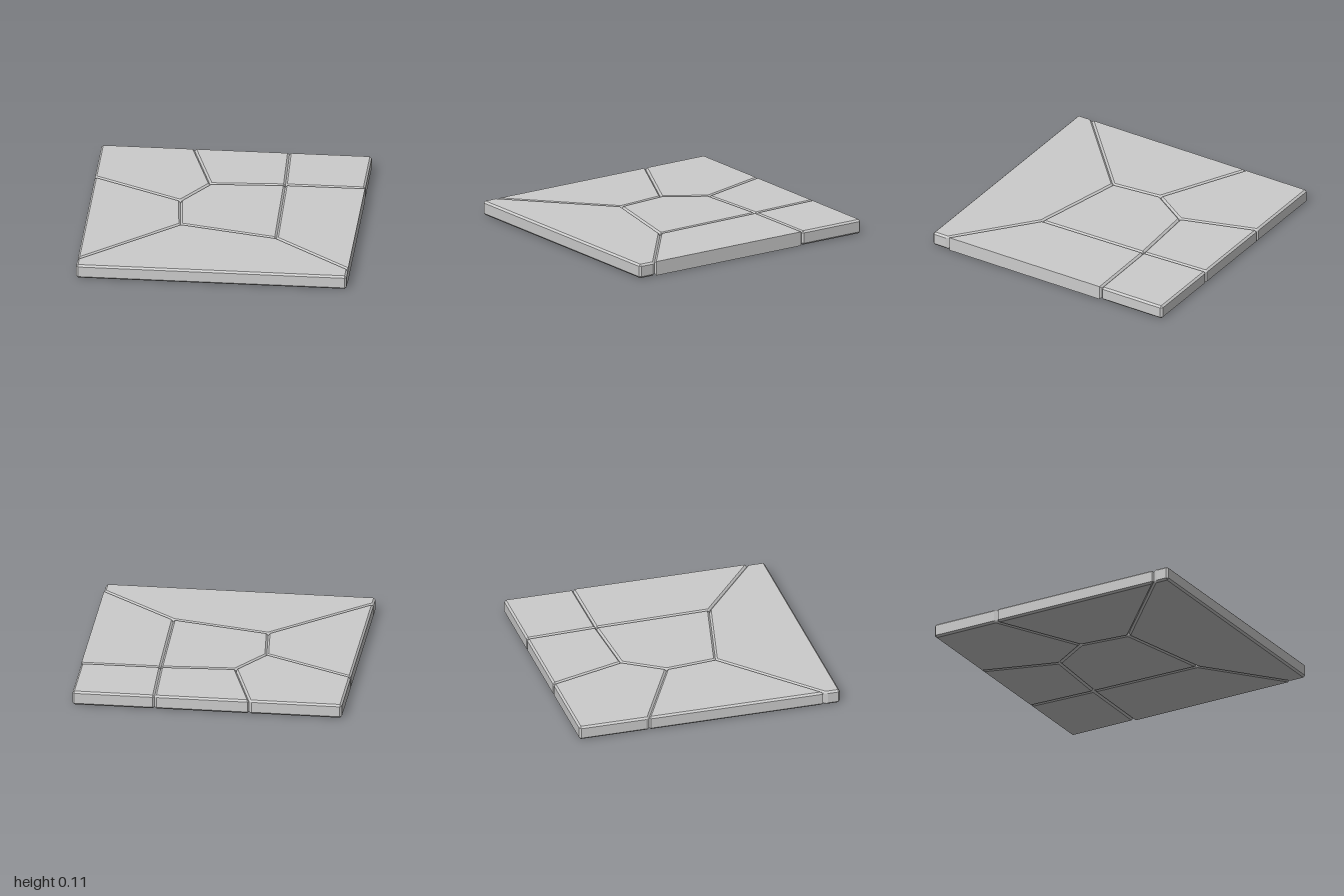
import * as THREE from 'three';
import { ConvexGeometry } from 'three/addons/geometries/ConvexGeometry.js';

const HEIGHT = 0.107;
const BEVEL = 0.014;

// Seam junctions on the slab plan, as [x, z]
const backSeamL = [-0.315, -1], backSeamR = [0.39, -1];
const leftSeamB = [-1, -0.47], leftSeamF = [-1, 0.885];
const rightSeamB = [1, -0.47], rightSeamF = [1, 0.87];
const p = [-0.142, -0.433], q = [0.41, -0.465], r = [-0.335, -0.138];
const s = [-0.297, 0.248], t = [0.427, 0.41];

// Outlines of the stones; squareEdge is the index of a side left without a bevel
const STONES = [
  { name: 'backLeftStone', outline: [[-1, -1], backSeamL, p, r, leftSeamB] },
  { name: 'backMiddleStone', outline: [backSeamL, backSeamR, q, p] },
  { name: 'backRightStone', outline: [backSeamR, [1, -1], rightSeamB, q] },
  { name: 'leftStone', outline: [leftSeamB, r, s, leftSeamF] },
  { name: 'centreStone', outline: [p, q, t, s, r] },
  { name: 'rightStone', outline: [q, rightSeamB, rightSeamF, t], squareEdge: 1 },
  { name: 'frontStone', outline: [leftSeamF, s, t, rightSeamF, [1, 1], [-1, 1]] },
];

// Convex stone with every edge and corner chamfered
function stoneGeometry(outline, squareEdge = -1) {
  const corners = outline.map(([x, z]) => new THREE.Vector2(x, z));
  const n = corners.length;
  const points = [];
  corners.forEach((corner, i) => {
    const before = (i + n - 1) % n;
    const toPrev = corners[before].clone().sub(corner).normalize();
    const toNext = corners[(i + 1) % n].clone().sub(corner).normalize();
    const sine = Math.abs(toPrev.cross(toNext));
    // Move the corner inward by a from the previous side and b from the next side
    const add = (a, b, inset) => {
      const v = corner.clone().addScaledVector(toNext, a / sine).addScaledVector(toPrev, b / sine);
      points.push(new THREE.Vector3(v.x, inset, v.y), new THREE.Vector3(v.x, HEIGHT - inset, v.y));
    };
    add(before === squareEdge ? 0 : BEVEL, i === squareEdge ? 0 : BEVEL, 0);
    add(0, BEVEL, BEVEL);
    add(BEVEL, 0, BEVEL);
  });
  return new ConvexGeometry(points);
}

export function createModel() {
  const slab = new THREE.Group();
  slab.name = 'crackedStoneSlab';
  const material = new THREE.MeshStandardMaterial({ color: 0xcccccc, flatShading: true });
  for (const { name, outline, squareEdge } of STONES) {
    const stone = new THREE.Mesh(stoneGeometry(outline, squareEdge), material);
    stone.name = name;
    slab.add(stone);
  }
  return slab;
}
